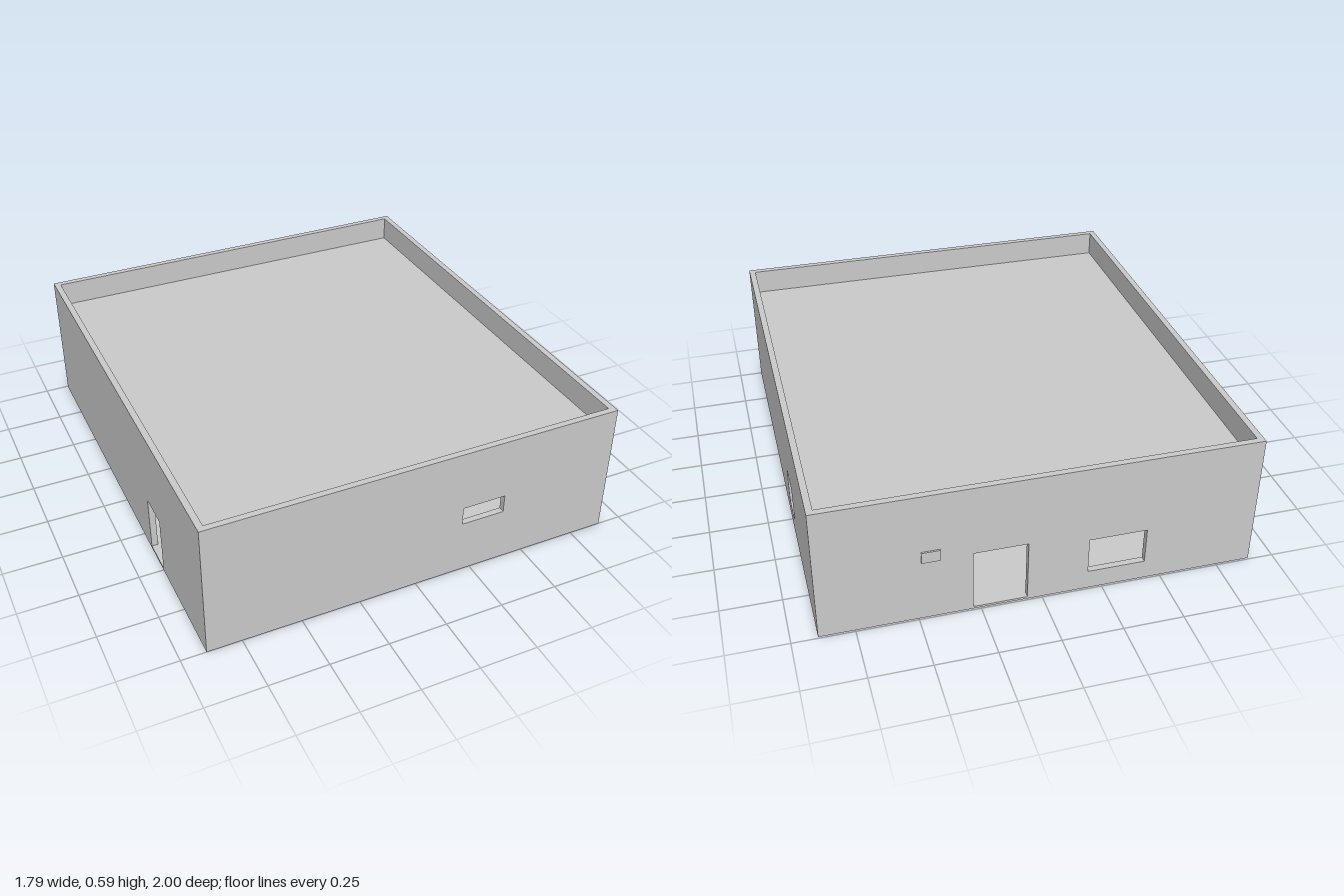
import * as THREE from 'three';

const X = 0.895, BACK = -0.993, FRONT = 1, H = 0.59, T = 0.027, FLOOR = 0.01;
const ROOF = 0.48, CEILING = 0.45;

export function createModel() {
  const model = new THREE.Group();
  model.name = 'flatRoofHouse';
  const material = new THREE.MeshStandardMaterial({ color: 0xcccccc, flatShading: true });

  function add(name, geometry, x = 0, y = 0, z = 0) {
    const mesh = new THREE.Mesh(geometry, material);
    mesh.name = name;
    mesh.position.set(x, y, z);
    model.add(mesh);
    return mesh;
  }

  function rectangle(path, [a, b, c, d]) {
    return path.moveTo(a, b).lineTo(c, b).lineTo(c, d).lineTo(a, d).closePath();
  }

  // Upright wall with rectangular openings, each given as [left, bottom, right, top]
  function wall(outline, openings) {
    const shape = rectangle(new THREE.Shape(), outline);
    for (const opening of openings) shape.holes.push(rectangle(new THREE.Path(), opening));
    return new THREE.ExtrudeGeometry(shape, { depth: T, bevelEnabled: false });
  }

  // Front and back walls run the full width
  add('frontWall', wall([-X, 0, X, H], [[0.2, 0.24, 0.39, 0.32]]), 0, 0, FRONT - T);
  add('backWall', wall([-X, 0, X, H], [
    [0.06, FLOOR, 0.28, 0.28], // door
    [-0.43, 0.085, -0.19, 0.245], // window
  ]), 0, 0, BACK);

  // Side walls fit between them; the wall's own x axis becomes z
  const sideOutline = [BACK + T, 0, FRONT - T, H];
  const left = add('leftWall', wall(sideOutline, [[-0.37, 0.08, -0.22, 0.245]]), X);
  const right = add('rightWall', wall(sideOutline, [[0.35, FLOOR, 0.5, 0.255]]), -X + T);
  left.rotation.y = right.rotation.y = -Math.PI / 2;

  // Floor and sunken roof inside the walls
  const width = 2 * (X - T), length = FRONT - BACK - 2 * T, midZ = (FRONT + BACK) / 2;
  add('floor', new THREE.BoxGeometry(width, FLOOR, length), 0, FLOOR / 2, midZ);
  add('roof', new THREE.BoxGeometry(width, ROOF - CEILING, length), 0, (ROOF + CEILING) / 2, midZ);

  // Inner partition with a doorway
  add('partition', wall([-X + T, FLOOR, X - T, CEILING], [[0.16, FLOOR + 0.001, 0.317, 0.25]]), 0, 0, 0.07);

  // Small plate beside the back door
  add('wallPlate', new THREE.BoxGeometry(0.075, 0.05, 0.012), 0.447, 0.305, BACK - 0.001);

  return model;
}
